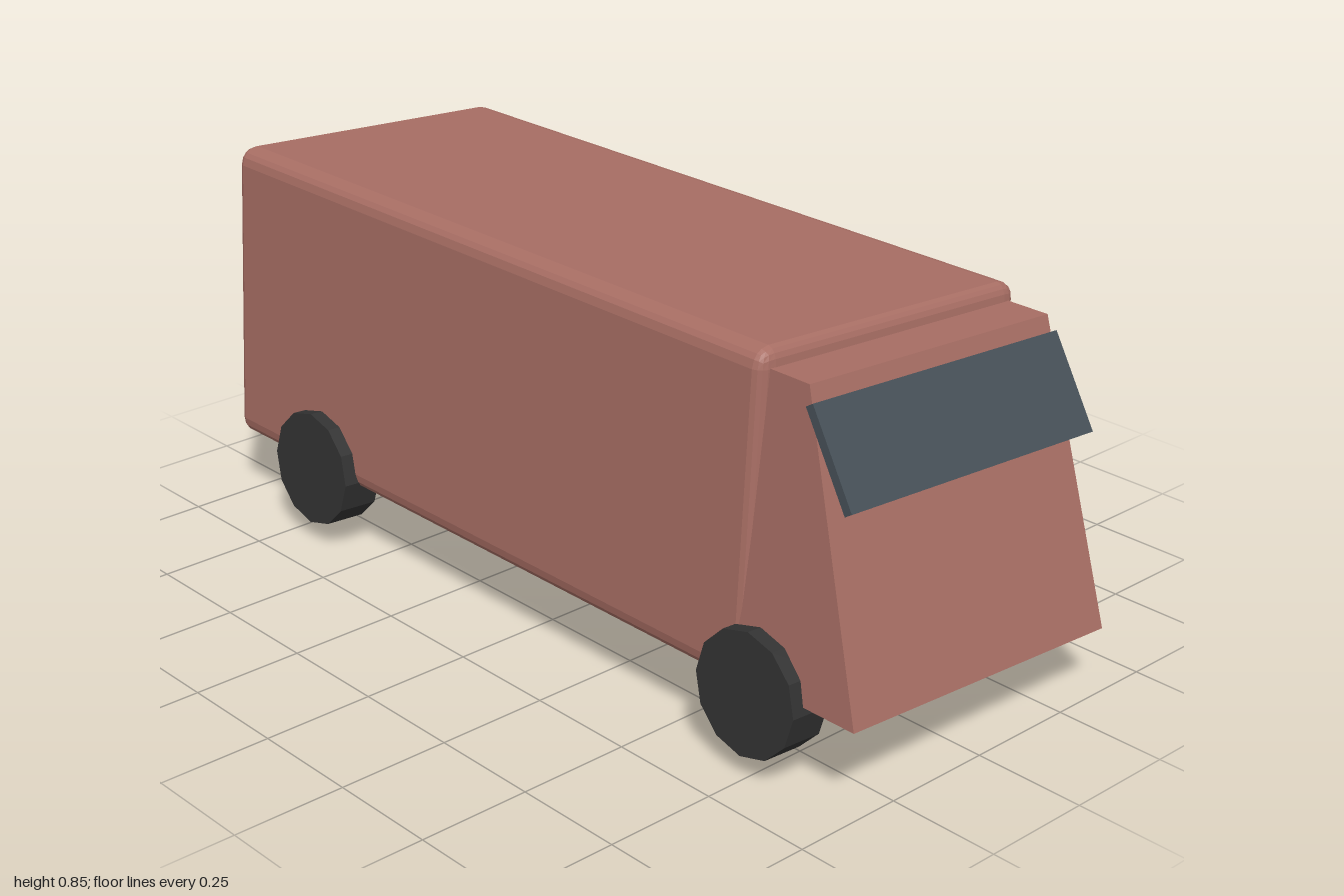
import * as THREE from 'three';
import { RoundedBoxGeometry } from 'three/addons/geometries/RoundedBoxGeometry.js';

const paint = (color) => new THREE.MeshStandardMaterial({ color, flatShading: true });

export function createModel() {
  const model = new THREE.Group();
  model.name = 'van';
  const red = paint(0xa86e64), glass = paint(0x465057), rubber = paint(0x333333);

  // the whole van leans slightly towards its left
  const lean = new THREE.Group();
  lean.name = 'leaningVan';
  lean.rotation.z = -0.06;
  model.add(lean);

  const add = (name, geometry, material, x, y, z) => {
    const mesh = new THREE.Mesh(geometry, material);
    mesh.name = name;
    mesh.position.set(x, y, z);
    lean.add(mesh);
    return mesh;
  };
  const midX = -0.011;

  // long cargo body with rounded edges, shallower at the two ends
  const endScale = 0.6;
  const body = new RoundedBoxGeometry(0.736, 0.699, 1.7 / endScale, 2, 0.04);
  body.scale(1, 1, endScale);
  add('cargoBody', body, red, midX, 0.489, -0.15);

  // cab: a box with a sloping nose and sides that lean in towards the roof
  const cab = new THREE.BoxGeometry(1, 1, 1);
  const p = cab.attributes.position;
  for (let i = 0; i < p.count; i++) {
    const top = p.getY(i) > 0, front = p.getZ(i) > 0;
    p.setXYZ(i,
      Math.sign(p.getX(i)) * (top ? 0.342 : 0.37),
      top ? 0.801 : 0.175,
      front ? (top ? 0.8 : 1) : 0.68);
  }
  cab.computeVertexNormals();
  add('cab', cab, red, midX, 0, 0);

  // windscreen slab standing off the nose
  const screen = add('windscreen', new THREE.BoxGeometry(0.702, 0.215, 0.02), glass, midX, 0.675, 0.869);
  screen.rotation.x = -0.57;

  // three wheels: a front pair and one at the right rear
  const wheel = new THREE.CylinderGeometry(0.133, 0.133, 0.095, 12);
  wheel.rotateZ(Math.PI / 2);
  add('frontLeftWheel', wheel, rubber, midX + 0.352, 0.159, 0.74);
  add('frontRightWheel', wheel, rubber, midX - 0.352, 0.159, 0.74);
  add('rearRightWheel', wheel, rubber, midX - 0.352, 0.159, -0.67);

  return model;
}
